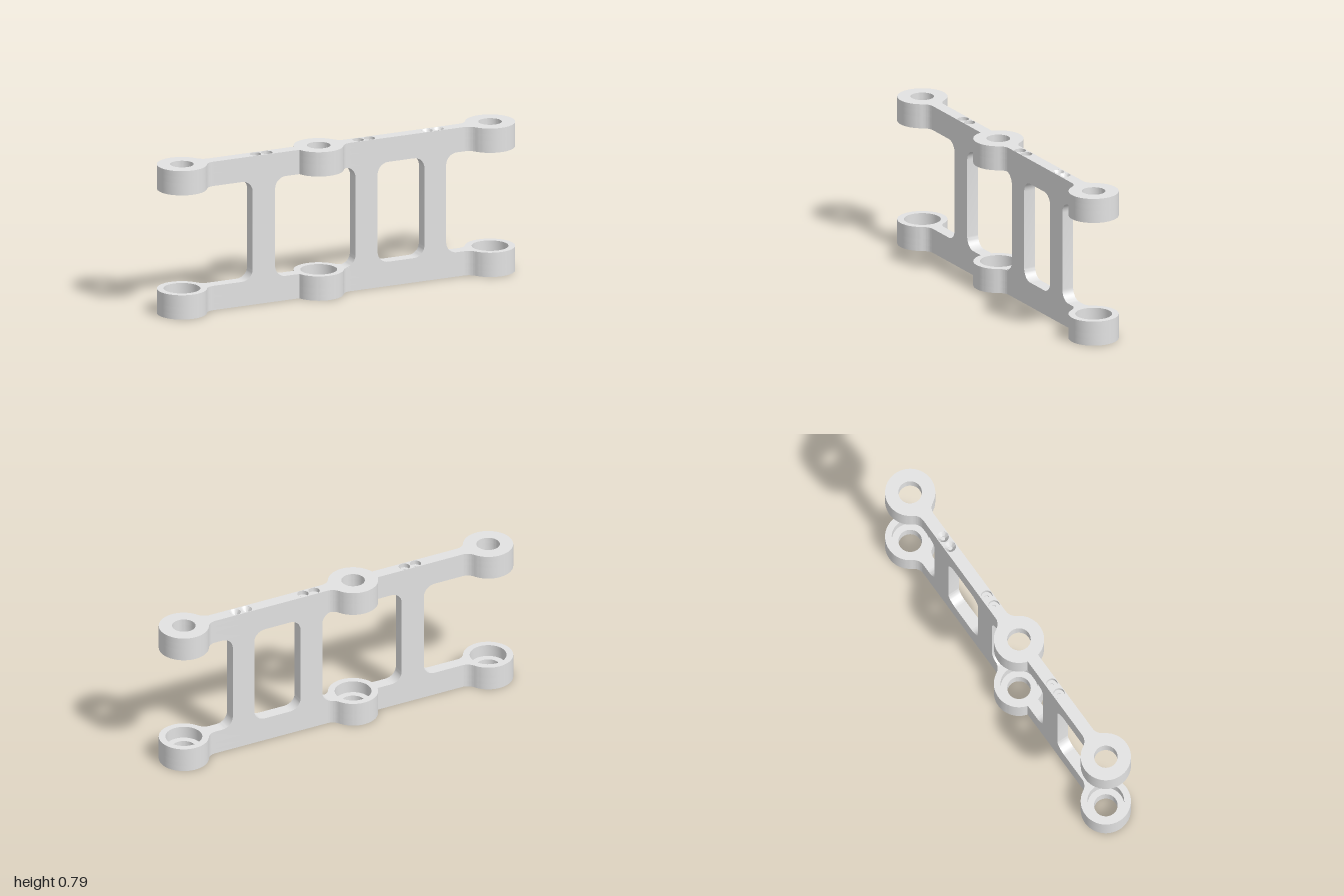
import * as THREE from 'three';
import { toCreasedNormals } from 'three/addons/utils/BufferGeometryUtils.js';

const HEIGHT = 0.788, RAIL = 0.129, HALF = 0.032; // overall height, rail height, half thickness
const BOSS_R = 0.128, FILLET = 0.06;
const BOSSES = [-0.872, -0.098, 0.872];
const POSTS = [[-0.487, -0.36], [0.095, 0.22], [0.485, 0.608]];
const SKIN = 0.03, LEDGE = 0.065; // depth of screw layer and of the bore ledge
const PIT_R = 0.029;

// Points along a circular arc
function arc(cx, cy, r, a0, a1, n) {
  return Array.from({ length: n + 1 }, (_, i) => {
    const a = a0 + (a1 - a0) * i / n;
    return new THREE.Vector2(cx + r * Math.cos(a), cy + r * Math.sin(a));
  });
}

// Plan outline of a rail, clockwise: three round bosses blended into a thin bar
function railOutline() {
  const [l, m, r] = BOSSES, fy = HALF + FILLET;
  const fx = Math.sqrt((BOSS_R + FILLET) ** 2 - fy ** 2);
  const a = Math.atan2(fy, fx), PI = Math.PI;
  const side = [
    ...arc(l, 0, BOSS_R, PI, a, 32),
    ...arc(l + fx, fy, FILLET, PI + a, 1.5 * PI, 10).slice(1),
    ...arc(m, 0, BOSS_R, PI - Math.asin(HALF / BOSS_R), a, 32),
    ...arc(m + fx, fy, FILLET, PI + a, 1.5 * PI, 10).slice(1),
    ...arc(r - fx, fy, FILLET, 1.5 * PI, 2 * PI - a, 10),
    ...arc(r, 0, BOSS_R, PI - a, 0, 32).slice(1),
  ];
  const back = side.slice(1, -1).reverse().map(p => new THREE.Vector2(p.x, -p.y));
  return [...side, ...back];
}

// Holes run counter-clockwise, against the outline, so their walls face inward
function circleHole(x, r) {
  return new THREE.Path().absarc(x, 0, r, 0, Math.PI * 2, false);
}

export function createModel() {
  const grey = new THREE.MeshStandardMaterial({ color: 0xe2e2e2 });
  grey.name = 'grey';
  const greyInside = grey.clone();
  greyInside.name = 'greyDoubleSided';
  greyInside.side = THREE.DoubleSide;

  const model = new THREE.Group();
  model.name = 'linkFrame';
  const outline = railOutline();
  const pits = POSTS.flatMap(([a, b]) => [(a + b) / 2 - 0.032, (a + b) / 2 + 0.032]);

  // One horizontal slice of a rail between two heights
  function slice(name, y0, y1, boreR, withPits) {
    const shape = new THREE.Shape(outline);
    BOSSES.forEach(x => shape.holes.push(circleHole(x, boreR)));
    if (withPits) pits.forEach(x => shape.holes.push(circleHole(x, PIT_R)));
    const geo = new THREE.ExtrudeGeometry(shape, { depth: y1 - y0, bevelEnabled: false, curveSegments: 24 });
    geo.rotateX(-Math.PI / 2).translate(0, y0, 0);
    const mesh = new THREE.Mesh(toCreasedNormals(geo, 0.6), grey);
    mesh.name = name;
    return mesh;
  }

  // Rail with its outer face at y = 0 and its stepped bores opening inward
  function rail(name, isConical) {
    const g = new THREE.Group();
    g.name = name;
    g.add(slice('outerSkin', 0, SKIN, 0.06, true));
    g.add(slice('boreLedge', SKIN, LEDGE, 0.06, false));
    g.add(slice('counterbore', LEDGE, RAIL, 0.094, false));
    // Screw pits, either countersunk or with a flat step
    pits.forEach((x, i) => {
      const profile = isConical(i)
        ? [[0, 0.029], [0.011, 0.029], [0.011, 0.026], [PIT_R, 0]]
        : [[0, 0.029], [0.011, 0.029], [0.011, 0.022], [PIT_R, 0.022], [PIT_R, 0]];
      const geo = new THREE.LatheGeometry(profile.map(p => new THREE.Vector2(...p)), 24);
      const pit = new THREE.Mesh(toCreasedNormals(geo, 0.6), greyInside);
      pit.name = 'screwPit';
      pit.position.x = x;
      g.add(pit);
    });
    return g;
  }

  model.add(rail('lowerRail', () => false));
  const upper = rail('upperRail', i => i > 3);
  upper.rotation.x = Math.PI;
  upper.position.y = HEIGHT;
  model.add(upper);

  // Upright posts, flaring into the rails with rounded corners
  POSTS.forEach(([x0, x1]) => {
    const y0 = RAIL, y1 = HEIGHT - RAIL, r = FILLET, PI = Math.PI;
    const shape = new THREE.Shape([
      ...arc(x1 + r, y0 + r, r, 1.5 * PI, PI, 10),
      ...arc(x1 + r, y1 - r, r, PI, 0.5 * PI, 10),
      ...arc(x0 - r, y1 - r, r, 0.5 * PI, 0, 10),
      ...arc(x0 - r, y0 + r, r, 0, -0.5 * PI, 10),
    ]);
    const geo = new THREE.ExtrudeGeometry(shape, { depth: 2 * HALF, bevelEnabled: false });
    geo.translate(0, 0, -HALF);
    const post = new THREE.Mesh(toCreasedNormals(geo, 0.6), grey);
    post.name = 'post';
    model.add(post);
  });

  return model;
}
